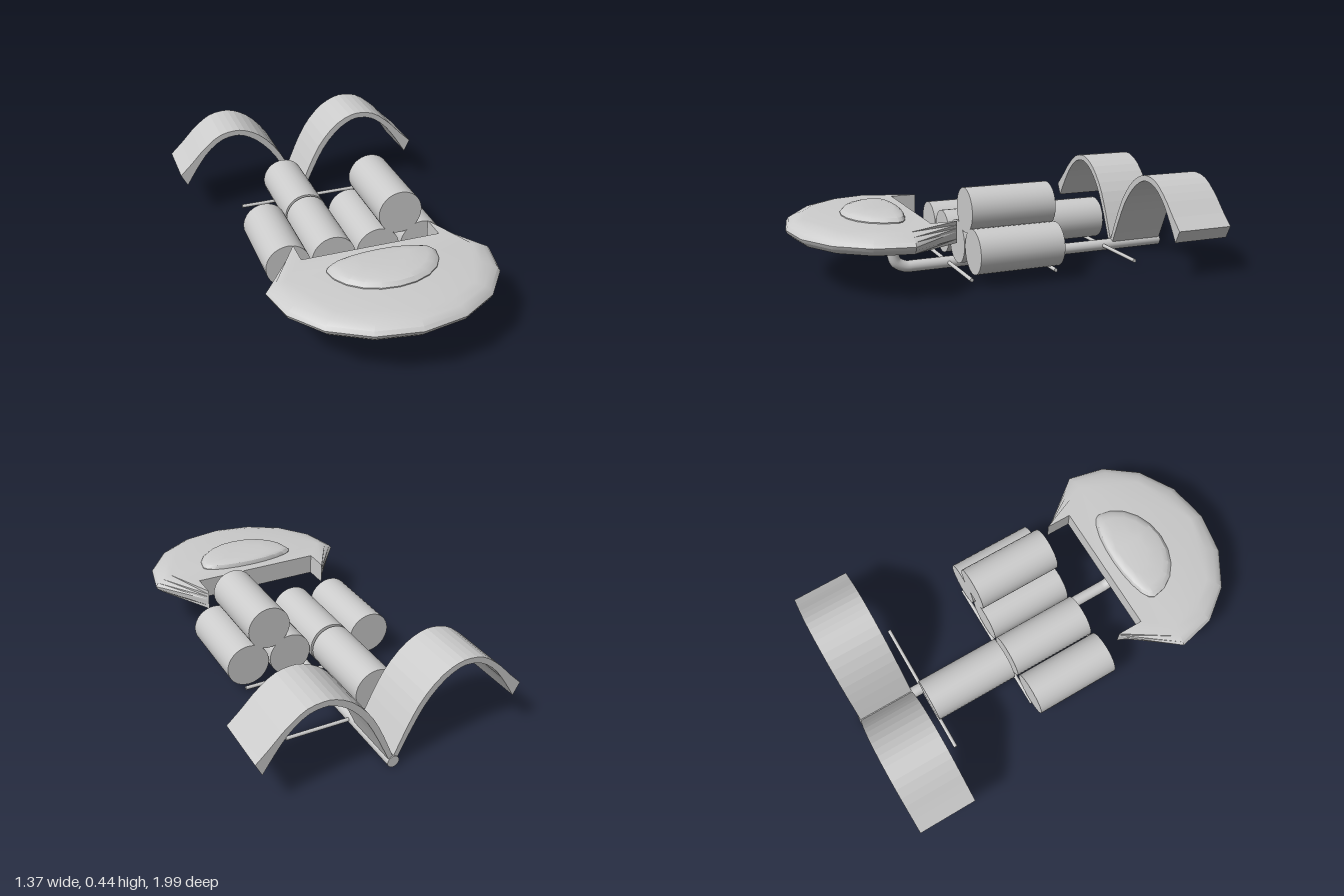
import * as THREE from 'three';
import { toCreasedNormals } from 'three/addons/utils/BufferGeometryUtils.js';

const grey = new THREE.MeshStandardMaterial({ color: 0xcccccc });
const grey2 = new THREE.MeshStandardMaterial({ color: 0xcccccc, side: THREE.DoubleSide });

// Closed solid from stacked rings of [x, y, z], each counter-clockwise seen from above
function ringSolid(rings) {
  const n = rings[0].length;
  const pos = rings.flat(2);
  const index = [];
  for (let k = 0; k < rings.length - 1; k++) {
    for (let i = 0; i < n; i++) {
      const j = (i + 1) % n;
      const a = k * n + i, b = k * n + j, c = b + n, d = a + n;
      index.push(a, b, d, b, c, d);
    }
  }
  const cap = (ring) => THREE.ShapeUtils.triangulateShape(ring.map(([x, , z]) => new THREE.Vector2(x, -z)), []);
  const top = (rings.length - 1) * n;
  cap(rings[0]).forEach(([a, b, c]) => index.push(c, b, a));
  cap(rings.at(-1)).forEach(([a, b, c]) => index.push(top + a, top + b, top + c));
  const geo = new THREE.BufferGeometry();
  geo.setAttribute('position', new THREE.Float32BufferAttribute(pos, 3));
  geo.setIndex(index);
  return toCreasedNormals(geo, 0.5);
}

export function createModel() {
  const root = new THREE.Group();
  root.name = 'spaceship';
  // Everything is laid out on the ship's own axes, then the ship is turned
  const ship = new THREE.Group();
  ship.name = 'ship';
  ship.rotation.y = -THREE.MathUtils.degToRad(10);
  ship.position.x = 0;
  root.add(ship);
  const body = new THREE.Group();
  body.name = 'hull';
  body.position.x = -0.0925; // centre line
  ship.add(body);

  const add = (name, geo, x = 0, y = 0, z = 0, mat = grey) => {
    const m = new THREE.Mesh(geo, mat);
    m.name = name;
    m.position.set(x, y, z);
    body.add(m);
    return m;
  };

  // Saucer: half ellipse in front, two swept tips and a square notch behind
  const zc = 0.573;
  const saucerRing = ([s, y, backY]) => {
    const ring = [];
    for (let i = 0; i <= 8; i++) {
      const t = Math.PI * (1 - i / 8);
      ring.push([0.505 * s * Math.cos(t), y, zc + 0.45 * s * Math.sin(t)]);
    }
    ring.push([0.315, backY, 0.331], [0.315, backY, 0.451], [-0.315, backY, 0.451], [-0.315, backY, 0.331]);
    return ring;
  };
  add('saucer', ringSolid([
    [0.83, 0.204, 0.204], [0.93, 0.216, 0.222], [0.985, 0.239, 0.24], [1, 0.255, 0.255],
    [0.975, 0.272, 0.27], [0.92, 0.287, 0.285], [0.83, 0.299, 0.303],
  ].map(saucerRing)));

  // Bridge dome: rounded in front, shallow at the back
  const domeRing = ([s, y]) => Array.from({ length: 20 }, (_, i) => {
    const t = Math.PI - (i / 20) * Math.PI * 2;
    const depth = Math.sin(t) > 0 ? 0.2 : 0.07;
    return [0.245 * s * Math.cos(t), y, zc + depth * s * Math.sin(t)];
  });
  add('bridgeDome', ringSolid([[1, 0.29], [1, 0.304], [0.92, 0.32], [0.8, 0.327], [0.5, 0.332]].map(domeRing)));

  // Spine and the neck that curls up under the saucer
  const spine = add('spine', new THREE.CylinderGeometry(0.028, 0.028, 1.35, 20), 0, 0.028, -0.22);
  spine.rotation.x = Math.PI / 2;
  const neckPath = new THREE.CatmullRomCurve3([
    [0.028, 0.44], [0.03, 0.48], [0.055, 0.525], [0.11, 0.542], [0.16, 0.55], [0.195, 0.575], [0.225, 0.63],
  ].map(([y, z]) => new THREE.Vector3(0, y, z)));
  add('neck', new THREE.TubeGeometry(neckPath, 32, 0.028, 16), 0, 0, 0, grey2);

  // Cross bars
  for (const z of [0.27, -0.145, -0.563]) {
    const bar = add('crossBar', new THREE.CylinderGeometry(0.009, 0.009, 0.67, 12), 0, 0.03, z);
    bar.rotation.z = Math.PI / 2;
  }

  // Cargo tanks: a row of four, one stacked on top, one behind
  const tank = (name, x, y, z0, z1) => {
    const t = add(name, new THREE.CylinderGeometry(0.103, 0.103, z1 - z0, 32), x, y, (z0 + z1) / 2);
    t.rotation.x = Math.PI / 2;
  };
  for (const x of [-0.32, -0.1065, 0.1065, 0.32]) tank('cargoTank', x, 0.155, -0.148, 0.258);
  tank('upperCargoTank', 0.213, 0.325, -0.148, 0.258);
  tank('rearCargoTank', -0.1065, 0.155, -0.57, -0.165);

  // Arched wings, mirrored either side of the spine
  const spline = (pts) => new THREE.SplineCurve(pts.map((p) => new THREE.Vector2(...p))).getPoints(20);
  const outer = spline([[0, 0.05], [0.06, 0.19], [0.12, 0.3], [0.2, 0.388], [0.28, 0.432], [0.345, 0.44],
    [0.42, 0.422], [0.5, 0.362], [0.565, 0.295], [0.628, 0.235]]);
  const inner = spline([[0.02, 0.04], [0.085, 0.178], [0.145, 0.284], [0.22, 0.365], [0.29, 0.406], [0.345, 0.413],
    [0.41, 0.396], [0.48, 0.342], [0.54, 0.265], [0.598, 0.176]]);
  for (const side of [1, -1]) {
    const outline = [...outer, ...inner.reverse()];
    inner.reverse();
    const shape = new THREE.Shape(outline.map((p) => new THREE.Vector2(p.x * side, p.y)));
    const geo = new THREE.ExtrudeGeometry(shape, { depth: 0.275, bevelEnabled: false });
    add(side > 0 ? 'leftWing' : 'rightWing', geo, 0, 0, -0.89);
  }
  return root;
}
